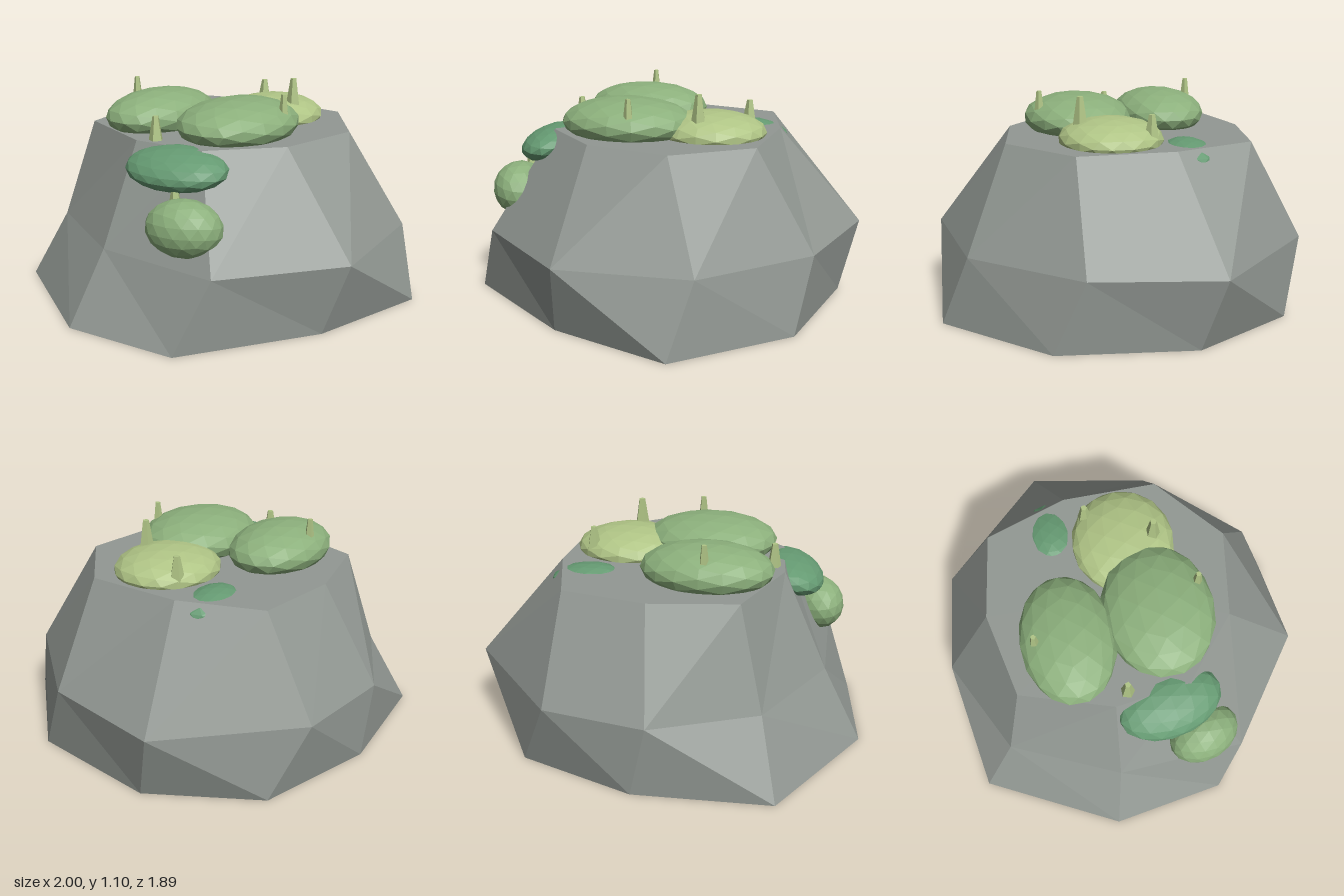
import * as THREE from 'three';

const mat = (color) => new THREE.MeshStandardMaterial({ color, flatShading: true });

// Rock rings, listed anticlockwise from the front: [x, z]
const base = [[0.35, 0.94], [0.83, 0.46], [0.92, -0.22], [0.63, -0.75], [0.03, -0.94],
  [-0.65, -0.88], [-1, -0.2], [-0.91, 0.39], [-0.28, 0.79]];
const middle = [[0.44, 0.81], [0.88, 0.31], [1, -0.32], [0.47, -0.88], [-0.05, -0.95],
  [-0.55, -0.7], [-0.8, -0.15], [-0.77, 0.51], [-0.23, 0.91]];
const crown = [[0.23, 0.59], [0.58, 0.3], [0.58, -0.19], [0.44, -0.61], [0.01, -0.68],
  [-0.42, -0.59], [-0.57, -0.13], [-0.52, 0.25], [-0.21, 0.52]];

function rockGeometry() {
  const n = base.length;
  const points = [];
  [[base, 0], [middle, 0.365], [crown, 0.87]].forEach(([ring, y]) =>
    ring.forEach(([x, z]) => points.push(x, y, z)));
  points.push(0, 0, 0, 0, 0.87, 0);
  const index = [];
  for (let i = 0; i < n; i++) {
    const j = (i + 1) % n;
    const [b, bn, m, mn, t, tn] = [i, j, n + i, n + j, 2 * n + i, 2 * n + j];
    index.push(b, bn, m, bn, mn, m); // lower band
    index.push(m, mn, tn, m, tn, t); // upper band
    index.push(3 * n, bn, b, 3 * n + 1, t, tn); // underside and flat top
  }
  const g = new THREE.BufferGeometry();
  g.setAttribute('position', new THREE.Float32BufferAttribute(points, 3));
  g.setIndex(index);
  const flat = g.toNonIndexed();
  flat.computeVertexNormals();
  return flat;
}

export function createModel() {
  const group = new THREE.Group();
  const add = (name, geometry, color, position, rotation = [0, 0, 0]) => {
    const mesh = new THREE.Mesh(geometry, mat(color));
    mesh.name = name;
    mesh.position.set(...position);
    mesh.rotation.set(...rotation);
    group.add(mesh);
  };

  add('rock', rockGeometry(), 0x929893, [0, 0, 0]);

  // Flattened moss mounds: name, colour, centre, radii, rotation
  const mounds = [
    ['frontMoss', 0x8cb07c, [-0.14, 0.925, 0.165], [0.35, 0.125, 0.285]],
    ['backMoss', 0x8cb07c, [-0.205, 0.925, -0.3], [0.335, 0.125, 0.24]],
    ['paleMoss', 0xb0c586, [0.28, 0.885, 0.07], [0.285, 0.105, 0.265]],
    ['sunkenMoss', 0x659a72, [0.42, 0.82, -0.29], [0.18, 0.07, 0.13], [0, 0, -0.1]],
    ['edgeMoss', 0x659a72, [-0.58, 0.78, 0.14], [0.17, 0.09, 0.27], [0, 0.2, 0.25]],
    ['hangingMoss', 0x8cb07c, [-0.71, 0.55, 0.3], [0.14, 0.14, 0.19], [0, 0.35, 0.4]],
  ];
  for (const [name, color, centre, radii, rotation] of mounds) {
    add(name, new THREE.IcosahedronGeometry(1, 2).scale(...radii), color, centre, rotation);
  }

  // Small five-sided sprouts: x, z, bottom, top, bottom radius
  const sprouts = [
    [-0.22, -0.46, 0.93, 1.095, 0.033],
    [-0.05, 0.38, 0.9, 1.08, 0.035],
    [0.26, 0.22, 0.93, 1.095, 0.042],
    [0.435, -0.1, 0.9, 1.025, 0.04],
    [-0.505, -0.06, 0.86, 0.99, 0.038],
    [-0.68, 0.22, 0.6, 0.74, 0.036],
  ];
  for (const [x, z, y0, y1, r] of sprouts) {
    add('sprout', new THREE.CylinderGeometry(r * 0.4, r, y1 - y0, 5), 0xb0c586, [x, (y0 + y1) / 2, z]);
  }
  return group;
}
